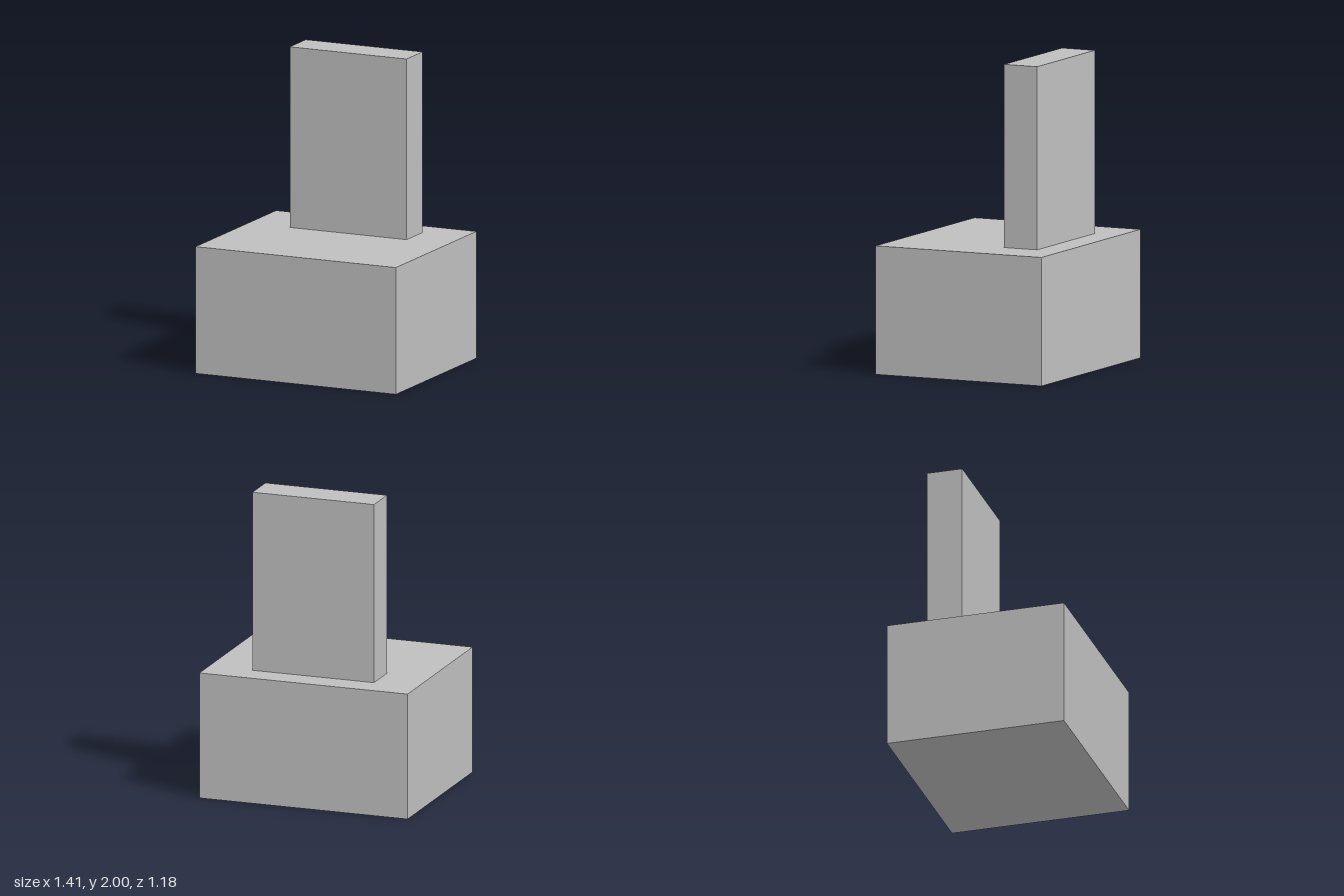
import * as THREE from 'three';

export function createModel() {
  const model = new THREE.Group();
  const grey = new THREE.MeshStandardMaterial({ color: 0xbfbfbf });
  grey.name = 'light grey';

  // Box standing on height y, centred on x = 0
  const addBlock = (name, width, height, depth, y, z) => {
    const mesh = new THREE.Mesh(new THREE.BoxGeometry(width, height, depth), grey);
    mesh.name = name;
    mesh.position.set(0, y + height / 2, z);
    model.add(mesh);
  };

  const baseHeight = 0.825;
  // Wide base block
  addBlock('base', 1.412, baseHeight, 1.176, 0, 0);
  // Upright slab set towards the back
  addBlock('uprightSlab', 0.824, 2 - baseHeight, 0.234, baseHeight, -0.295);

  return model;
}
